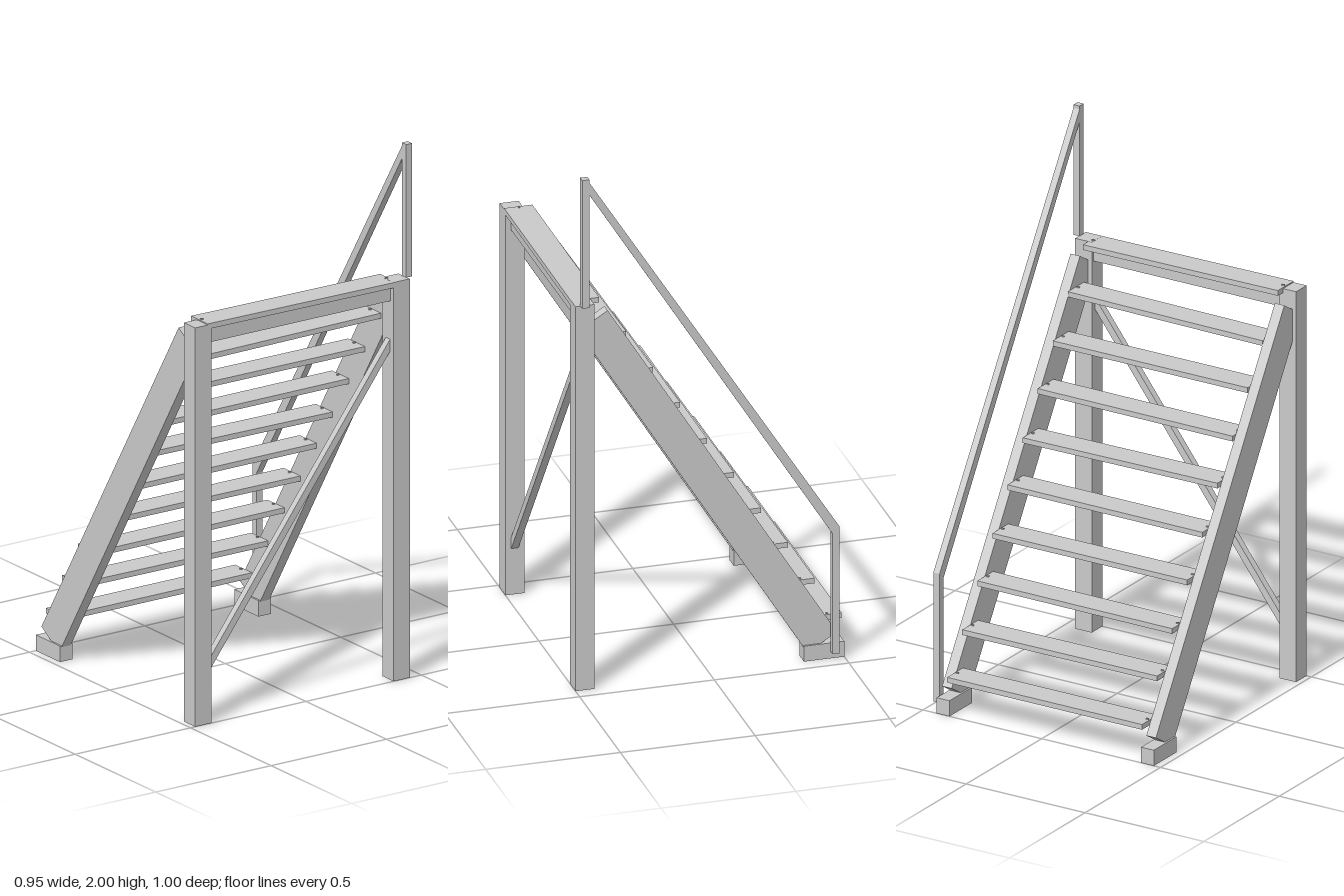
import * as THREE from 'three';

export function createModel() {
  const group = new THREE.Group();
  const timber = new THREE.MeshStandardMaterial({ color: 0xcacaca });
  timber.name = 'paleGrey';

  const add = (name, geometry) => {
    const mesh = new THREE.Mesh(geometry, timber);
    mesh.name = name;
    group.add(mesh);
    return mesh;
  };

  // Box given by its low and high limits on each axis
  const block = (name, x0, x1, y0, y1, z0, z1) => {
    const mesh = add(name, new THREE.BoxGeometry(x1 - x0, y1 - y0, z1 - z0));
    mesh.position.set((x0 + x1) / 2, (y0 + y1) / 2, (z0 + z1) / 2);
    return mesh;
  };

  // Side profile of [z, y] points, extruded from x0 to x1
  const sidePlate = (name, points, x0, x1) => {
    const shape = new THREE.Shape(points.map(([z, y]) => new THREE.Vector2(-z, y)));
    const geometry = new THREE.ExtrudeGeometry(shape, { depth: x1 - x0, bevelEnabled: false });
    geometry.rotateY(Math.PI / 2);
    geometry.translate(x0, 0, 0);
    return add(name, geometry);
  };

  // Posts, sloping stringers and feet on both sides
  const middle = -0.015;
  for (const [side, s] of [['left', 1], ['right', -1]]) {
    const x = middle + s * 0.43;
    block(side + 'Post', x - 0.035, x + 0.035, 0, 1.5, 0.43, 0.5);
    block(side + 'Foot', x - 0.027, x + 0.027, 0, 0.06, -0.5, -0.35);
    sidePlate(side + 'Stringer',
      [[-0.475, 0.097], [0.376, 1.463], [0.485, 1.395], [-0.366, 0.029]], x - 0.02, x + 0.02);
  }

  // Ten treads with slight hand-built tilts, each held by two screws
  const tilts = [0, -0.004, 0.003, -0.002, 0.002, -0.008, 0.002, -0.001, 0.009, -0.006];
  const width = 0.82, depth = 0.105, thickness = 0.02;
  tilts.forEach((tilt, i) => {
    const tread = new THREE.Group();
    tread.name = 'tread' + (i + 1);
    const board = new THREE.Mesh(new THREE.BoxGeometry(width, thickness, depth), timber);
    board.name = 'treadBoard';
    tread.add(board);
    for (const s of [-1, 1]) {
      const screw = new THREE.Mesh(new THREE.BoxGeometry(0.01, 0.006, 0.006), timber);
      screw.name = 'screw';
      screw.position.set(s * 0.4, thickness / 2 + 0.001, 0);
      tread.add(screw);
    }
    tread.position.set(middle, 0.14 + i * 0.15 + (i === 9 ? 0.002 : 0), -0.452 + i * 0.1);
    tread.rotation.z = tilt;
    group.add(tread);
  });

  // Cross beam under the top tread
  block('headerBeam', -0.42, 0.39, 1.425, 1.482, 0.44, 0.48);

  // Diagonal brace between the posts
  const from = new THREE.Vector2(-0.425, 0.182), to = new THREE.Vector2(0.395, 1.278);
  const span = to.clone().sub(from);
  const brace = add('diagonalBrace', new THREE.BoxGeometry(span.length(), 0.027, 0.027));
  brace.position.set((from.x + to.x) / 2, (from.y + to.y) / 2, 0.465);
  brace.rotation.z = span.angle();

  // Handrail on one side with its upper and lower uprights
  const railX = [0.447, 0.473];
  block('upperRailPost', ...railX, 1.5, 2, 0.455, 0.482);
  block('lowerRailPost', ...railX, 0.03, 0.515, -0.473, -0.447);
  sidePlate('handrail',
    [[-0.473, 0.525], [0.46, 1.995], [0.46, 1.947], [-0.447, 0.5], [-0.473, 0.5]], ...railX);

  return group;
}
